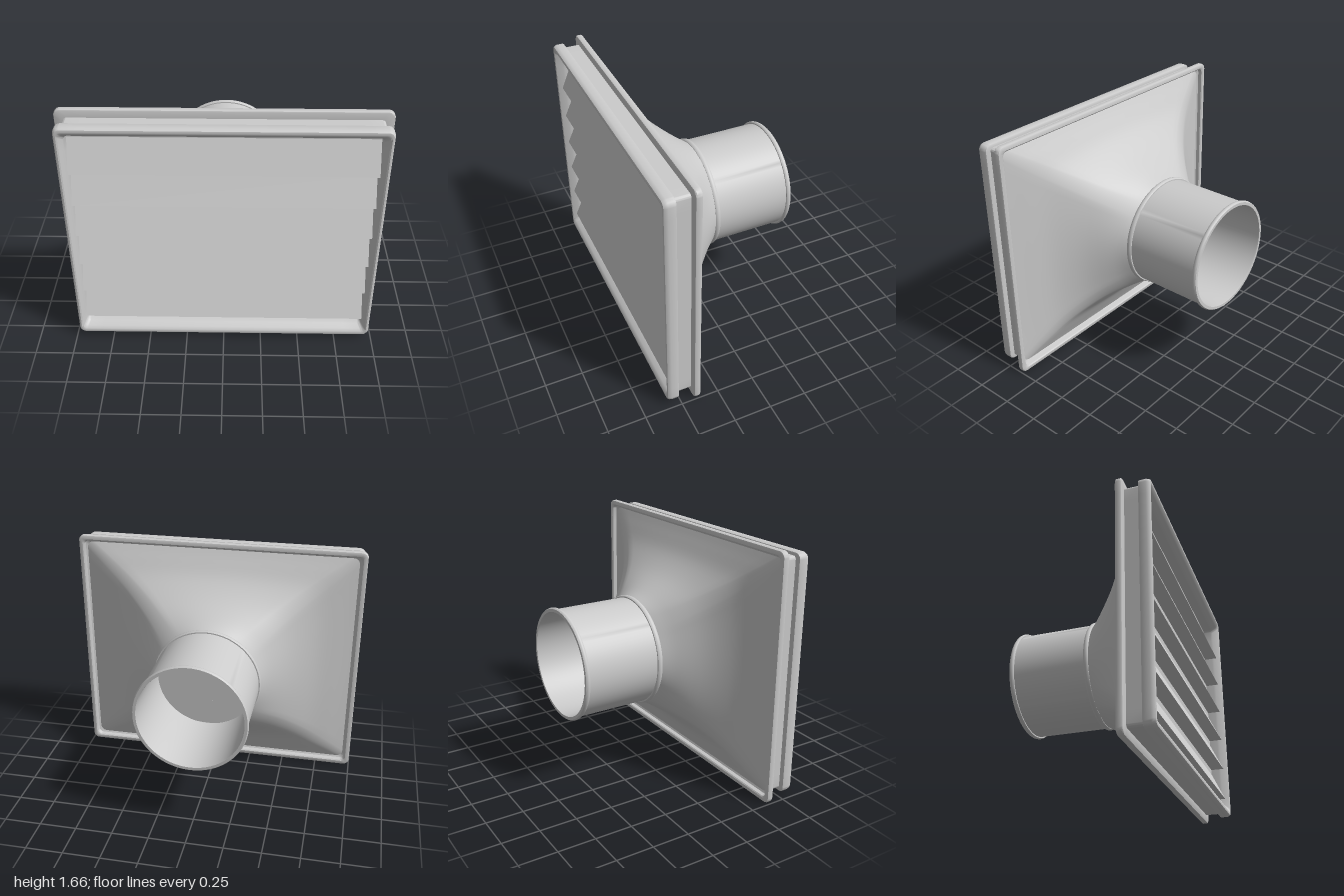
import * as THREE from 'three';
import { toCreasedNormals } from 'three/addons/utils/BufferGeometryUtils.js';

const CY = 0.83; // height of the duct axis
const SIDE = 18, ARC = 6; // points per straight side and per corner
const material = new THREE.MeshStandardMaterial({ color: 0xcccccc, side: THREE.DoubleSide });

// Rounded rectangle, counter-clockwise, blended by t towards a circle of radius R
function loop([hw, hh, r, z, t = 0, R = 0.36]) {
  const pts = [];
  const per = SIDE + ARC, n = 4 * per;
  for (let q = 0; q < 4; q++) {
    const corner = (k) => [
      [1, 1], [-1, 1], [-1, -1], [1, -1]][k % 4].map((s, i) => s * ((i ? hh : hw) - r));
    const [cx, cy] = corner(q), [nx, ny] = corner(q + 1);
    const a0 = q * Math.PI / 2, a1 = a0 + Math.PI / 2;
    const ring = [];
    for (let i = 0; i <= ARC; i++) {
      const a = a0 + (a1 - a0) * i / ARC;
      ring.push([cx + r * Math.cos(a), cy + r * Math.sin(a)]);
    }
    for (let i = 1; i < SIDE; i++) {
      const f = i / SIDE;
      ring.push([cx + (nx - cx) * f + r * Math.cos(a1), cy + (ny - cy) * f + r * Math.sin(a1)]);
    }
    ring.forEach(([x, y], i) => {
      const a = Math.PI / 4 + (q * per + i - ARC / 2) / n * Math.PI * 2;
      pts.push([x + (R * Math.cos(a) - x) * t, CY + y + (R * Math.sin(a) - y) * t, z]);
    });
  }
  return pts;
}

// Skin through a list of sections; faces point outwards where z rises
function loft(sections, crease = 0.6) {
  const rings = sections.map(loop), n = rings[0].length, pos = [], index = [];
  rings.forEach((ring) => ring.forEach((p) => pos.push(...p)));
  for (let i = 0; i < rings.length - 1; i++) {
    for (let j = 0; j < n; j++) {
      const k = (j + 1) % n;
      const a = i * n + j, b = i * n + k, c = a + n, d = b + n;
      index.push(a, b, c, b, d, c);
    }
  }
  const g = new THREE.BufferGeometry();
  g.setAttribute('position', new THREE.Float32BufferAttribute(pos, 3));
  g.setIndex(index);
  return toCreasedNormals(g, crease);
}

export function createModel() {
  const group = new THREE.Group();
  const add = (name, geometry) => {
    const mesh = new THREE.Mesh(geometry, material);
    mesh.name = name;
    group.add(mesh);
  };

  // Rear flange with a thin raised lip: half width, half height, corner radius, z
  add('rearFlange', loft([
    [0.945, 0.775, 0.03, 0.408], [0.96, 0.79, 0.03, 0.4], [0.965, 0.795, 0.03, 0.376],
    [0.972, 0.802, 0.03, 0.37], [0.99, 0.82, 0.035, 0.37], [0.997, 0.827, 0.04, 0.373],
    [1, 0.83, 0.04, 0.38], [1, 0.83, 0.04, 0.405], [0.997, 0.827, 0.04, 0.411],
    [0.99, 0.82, 0.035, 0.414], [0.94, 0.77, 0.03, 0.414],
  ]));

  // Recessed band between flange and front frame
  add('recessedBand', loft([[0.945, 0.778, 0.02, 0.41], [0.945, 0.778, 0.02, 0.515]]));

  // Rounded front frame, sloping in to the opening
  add('frontFrame', loft([
    [0.94, 0.775, 0.02, 0.51], [0.97, 0.79, 0.03, 0.51], [0.977, 0.797, 0.035, 0.513],
    [0.98, 0.8, 0.04, 0.52], [0.98, 0.8, 0.04, 0.56], [0.977, 0.797, 0.04, 0.574],
    [0.97, 0.79, 0.035, 0.584], [0.96, 0.777, 0.03, 0.587], [0.951, 0.764, 0.028, 0.583],
    [0.942, 0.75, 0.025, 0.568], [0.93, 0.73, 0.025, 0.54], [0.925, 0.7225, 0.02, 0.525],
    [0.925, 0.7225, 0.02, 0.42], [0.925, 0.755, 0.02, 0.41],
  ]));

  // Hood: rectangle flowing into the round neck, outer and inner skin
  const flow = new THREE.SplineCurve([
    [1, -0.035], [0.89, 0.05], [0.67, 0.19], [0.42, 0.3], [0.16, 0.37], [0, 0.407],
  ].map(([t, z]) => new THREE.Vector2(t, z))).getPoints(20);
  add('hoodOuter', loft(flow.map((p) => [0.95, 0.78, 0.05, p.y, p.x])));
  add('hoodInner', loft(flow.map((p) => [0.935, 0.765, 0.05, p.y, p.x, 0.345]).reverse()));

  // Round neck with a bead at each end
  const bead = (z0, z1) => [[0.358, z0], [0.366, z0], [0.371, z0 + 0.006],
    [0.373, (z0 + z1) / 2], [0.371, z1 - 0.006], [0.366, z1], [0.358, z1]];
  const profile = [[0.347, -0.588], ...bead(-0.588, -0.558), ...bead(-0.063, -0.03),
    [0.345, -0.03], [0.345, -0.58], [0.347, -0.588]];
  const neck = new THREE.LatheGeometry(profile.map((p) => new THREE.Vector2(...p)), 96);
  neck.rotateX(Math.PI / 2).translate(0, CY, 0);
  add('neck', toCreasedNormals(neck, 0.7));

  // Louvre slats: short upright top, then sloping out to the lower lip
  const strip = (name, outline) => {
    const shape = new THREE.Shape(outline.map((p) => new THREE.Vector2(...p)));
    const g = new THREE.ExtrudeGeometry(shape, { depth: 1.85, bevelEnabled: false });
    add(name, g.rotateY(-Math.PI / 2).translate(0.925, 0, 0));
  };
  const pitch = 0.2285;
  for (let i = 0; i < 6; i++) {
    const lip = 1.302 - i * pitch;
    const top = i ? lip + pitch : 1.555;
    strip('slat' + (i + 1), [[0.455, lip], [0.56, lip], [0.47, top - (i ? 0.036 : 0.043)],
      [0.47, top], [0.455, top]]);
  }
  strip('sill', [[0.455, 0.105], [0.47, 0.105], [0.47, 0.1595], [0.455, 0.1595]]);

  return group;
}
